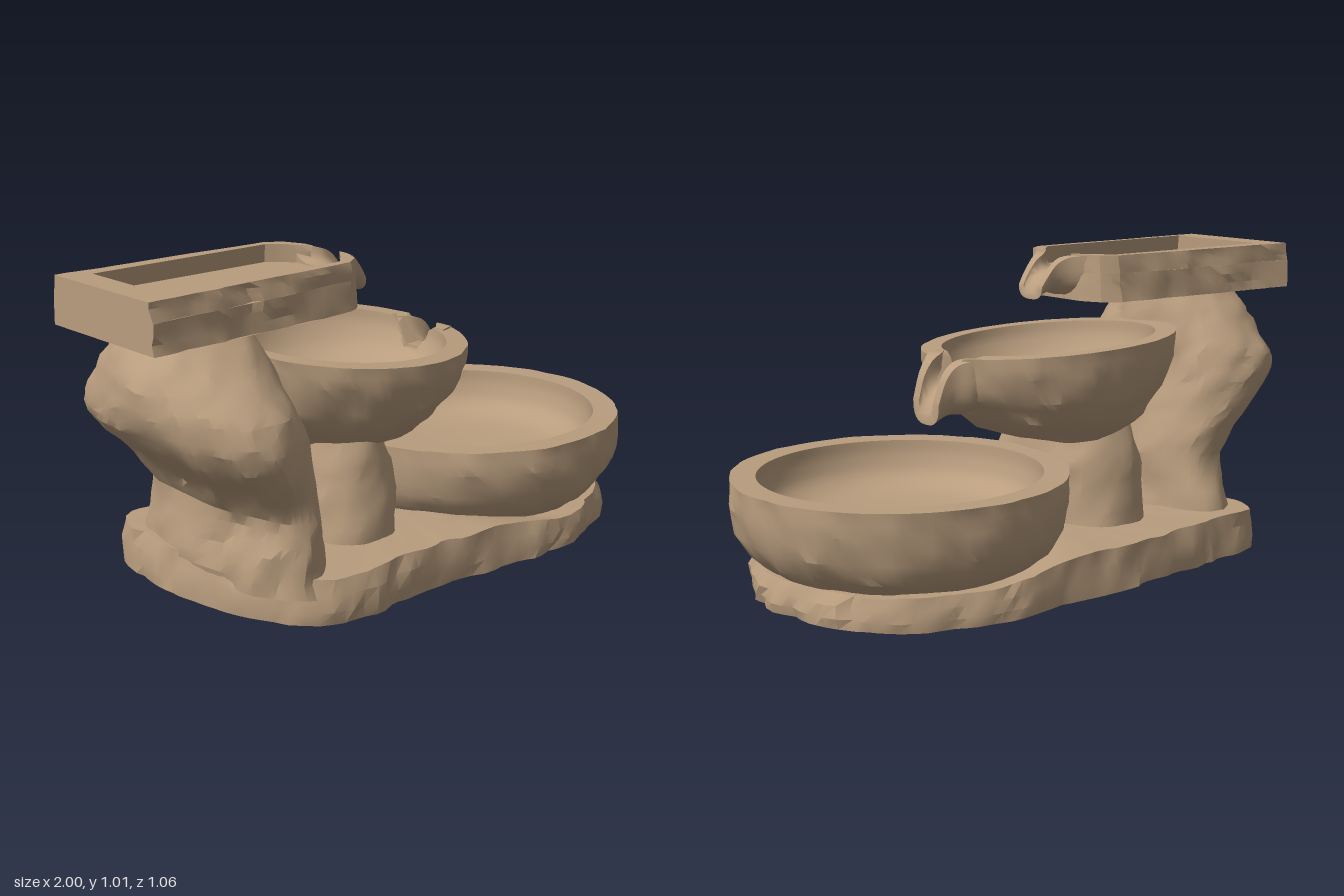
import * as THREE from 'three';
import { toCreasedNormals } from 'three/addons/utils/BufferGeometryUtils.js';

const stone = new THREE.MeshStandardMaterial({ color: 0xb99d7e });
stone.name = 'sandstone';

// Smooth value noise in -1..1
const hash = (x, y, z) => {
  const s = Math.sin(x * 127.1 + y * 311.7 + z * 74.7) * 43758.5453;
  return (s - Math.floor(s)) * 2 - 1;
};
function noise(x, y, z) {
  const [i, j, k] = [x, y, z].map(Math.floor);
  const [u, v, w] = [x - i, y - j, z - k].map((t) => t * t * (3 - 2 * t));
  let sum = 0;
  for (let a = 0; a < 2; a++) for (let b = 0; b < 2; b++) for (let c = 0; c < 2; c++)
    sum += hash(i + a, j + b, k + c) * (a ? u : 1 - u) * (b ? v : 1 - v) * (c ? w : 1 - w);
  return sum;
}

// Apply a rule to every vertex
function reshape(geo, rule) {
  const pos = geo.attributes.position, p = new THREE.Vector3();
  for (let i = 0; i < pos.count; i++) {
    rule(p.fromBufferAttribute(pos, i));
    pos.setXYZ(i, p.x, p.y, p.z);
  }
  return geo;
}

// Hewn surface: broad dents plus finer chips, with less movement in height
function hew(p, amount, freq = 11) {
  const { x, y, z } = p;
  for (const [amp, f] of [[amount, freq], [amount * 0.5, freq * 2.1]]) {
    p.x += amp * noise(x * f, y * f, z * f + 9);
    p.z += amp * noise(x * f + 31, y * f, z * f);
    p.y += amp * 0.3 * noise(x * f, y * f + 17, z * f);
  }
}

function part(name, geo, crease = 0.5) {
  const mesh = new THREE.Mesh(toCreasedNormals(geo, crease), stone);
  mesh.name = name;
  return mesh;
}

// Skin over a stack of rings; 'fan' closes round ends, 'channel' closes U-shaped ends
function loft(rings, cap) {
  const m = rings[0].length, pts = rings.flat(), idx = [];
  for (let i = 0; i < rings.length - 1; i++) for (let j = 0; j < m; j++) {
    const a = i * m + j, b = i * m + (j + 1) % m;
    idx.push(a, a + m, b, b, a + m, b + m);
  }
  const last = (rings.length - 1) * m;
  if (cap === 'fan') {
    const mid = (r) => r.reduce((s, p) => s.add(p), new THREE.Vector3()).divideScalar(m);
    const c = pts.length;
    pts.push(mid(rings[0]), mid(rings[rings.length - 1]));
    for (let j = 0; j < m; j++) {
      const k = (j + 1) % m;
      idx.push(c, j, k, c + 1, last + k, last + j);
    }
  } else {
    for (let j = 0; j < m / 2 - 1; j++) {
      const k = m - 1 - j, a = last + j, d = last + k;
      idx.push(a + 1, a, d, a + 1, d, d - 1, j, j + 1, k, k, j + 1, k - 1);
    }
  }
  const geo = new THREE.BufferGeometry().setFromPoints(pts);
  geo.setIndex(idx);
  return geo;
}

// Sections [y, x0, x1, z0, z1] smoothed into rounded rings
function column(sections, rows, sides) {
  const pick = (k, t) => {
    const f = t * (sections.length - 1), i = Math.min(Math.floor(f), sections.length - 2);
    return THREE.MathUtils.lerp(sections[i][k], sections[i + 1][k], f - i);
  };
  const rings = [];
  for (let r = 0; r <= rows; r++) {
    const [y, x0, x1, z0, z1] = [0, 1, 2, 3, 4].map((k) => pick(k, r / rows));
    rings.push(Array.from({ length: sides }, (_, j) => {
      const a = (j / sides) * Math.PI * 2, c = Math.cos(a), s = Math.sin(a);
      const sq = (v) => Math.sign(v) * Math.abs(v) ** 0.85;
      return new THREE.Vector3((x0 + x1) / 2 + sq(c) * (x1 - x0) / 2, y, (z0 + z1) / 2 + sq(s) * (z1 - z0) / 2);
    }));
  }
  return loft(rings, 'fan');
}

// Split a polyline into short pieces
function subdivide(points, step) {
  const out = [];
  points.forEach(([x, y], i) => {
    if (i === points.length - 1) return out.push(new THREE.Vector2(x, y));
    const [u, v] = points[i + 1], n = Math.max(1, Math.round(Math.hypot(u - x, v - y) / step));
    for (let k = 0; k < n; k++) out.push(new THREE.Vector2(x + (u - x) * k / n, y + (v - y) * k / n));
  });
  return out;
}

// Pouring lip from sections [x, outer half width, top, bottom, inner half width, floor]
function spout(name, sections) {
  const n = 13;
  const arc = (x, w, top, low) => Array.from({ length: n }, (_, i) => {
    const a = (i / (n - 1)) * Math.PI, c = -Math.cos(a);
    return new THREE.Vector3(x, top - (top - low) * Math.sin(a) ** 0.75, Math.sign(c) * w * Math.abs(c) ** 0.75);
  });
  const curves = [0, 1, 2, 3, 4, 5].map((k) => new THREE.SplineCurve(sections.map((s, i) => new THREE.Vector2(i, s[k]))));
  const rings = Array.from({ length: 17 }, (_, i) => {
    const [x, w, top, low, iw, floor] = curves.map((c) => c.getPoint(i / 16).y);
    return [...arc(x, w, top, low), ...arc(x, iw, top, floor).reverse()];
  });
  return part(name, loft(rings, 'channel'), 0.8);
}

// Round basin: hewn outside, smooth rounded inside
function basin(name, outer, inner, cx, rule) {
  const wall = new THREE.SplineCurve(inner.map(([r, y]) => new THREE.Vector2(r, y))).getPoints(16);
  wall[16].x = 0;
  const profile = [...subdivide([...outer, inner[0]], 0.04), ...wall.slice(1)];
  const geo = new THREE.LatheGeometry(profile, 88);
  const [rimR, rimY] = inner[0];
  reshape(geo, (p) => {
    const r = Math.hypot(p.x, p.z), y = p.y;
    const near = wall.reduce((d, q) => Math.min(d, Math.hypot(q.x - r, q.y - y)), 1);
    if (near > 0.04 && r > 0.1) {
      const onRim = y > rimY - 0.01;
      hew(p, onRim && r > rimR ? 0.005 : 0.01, 13);
      if (onRim) p.y = y;
    }
    p.x += cx;
    if (rule) rule(p);
  });
  return part(name, geo, 0.5);
}

export function createModel() {
  const model = new THREE.Group();
  model.name = 'tieredFountain';

  // Rough plinth, thinner beneath the large basin
  const outline = new THREE.CatmullRomCurve3([
    [0.92, 0], [0.87, 0.23], [0.72, 0.41], [0.45, 0.51], [0.15, 0.49], [-0.15, 0.465], [-0.45, 0.48],
    [-0.6, 0.42], [-0.7, 0.24], [-0.75, 0], [-0.75, -0.2], [-0.71, -0.39], [-0.5, -0.43], [-0.2, -0.47],
    [0.15, -0.485], [0.45, -0.5], [0.72, -0.42], [0.87, -0.23],
  ].map(([x, z]) => new THREE.Vector3(x, 0, z)), true);
  const ringAt = (t, size) => outline.getSpacedPoints(120).slice(0, 120).map((p) => {
    const top = 0.14 - 0.04 * THREE.MathUtils.smoothstep(p.x, 0.1, 0.5);
    return new THREE.Vector3(p.x * size, top * t, p.z * size);
  });
  const plinth = loft([[0, 1], [0.3, 1.005], [0.65, 0.995], [1, 0.975], [1, 0.7], [1, 0.35]].map(([t, s]) => ringAt(t, s)), 'fan');
  reshape(plinth, (p) => {
    const y = p.y;
    hew(p, 0.014, 13);
    if (y < 0.001) p.y = 0;
  });
  model.add(part('plinth', plinth, 0.45));

  // Tall boulder carrying the trough
  const boulder = column([
    [0.08, -0.73, -0.43, -0.37, 0.42], [0.2, -0.72, -0.44, -0.34, 0.41], [0.31, -0.71, -0.45, -0.31, 0.41],
    [0.41, -0.78, -0.47, -0.315, 0.425], [0.5, -0.88, -0.49, -0.34, 0.445], [0.58, -0.945, -0.51, -0.355, 0.45],
    [0.66, -0.965, -0.52, -0.34, 0.415], [0.73, -0.96, -0.52, -0.29, 0.345], [0.8, -0.92, -0.53, -0.24, 0.26],
    [0.87, -0.86, -0.55, -0.19, 0.2],
  ], 26, 56);
  reshape(boulder, (p) => { hew(p, 0.018, 7); hew(p, 0.007, 16); });
  model.add(part('boulder', boulder, 0.4));

  // Pedestal under the middle bowl
  const pedestal = column([
    [0.1, -0.42, -0.03, -0.3, 0.31], [0.25, -0.4, -0.04, -0.29, 0.3], [0.36, -0.385, -0.05, -0.28, 0.28],
    [0.46, -0.36, -0.07, -0.25, 0.25],
  ], 11, 44);
  model.add(part('pedestal', reshape(pedestal, (p) => hew(p, 0.01, 12)), 0.4));

  // Large lower basin
  model.add(basin('lowerBasin',
    [[0, 0.09], [0.42, 0.09], [0.475, 0.14], [0.513, 0.205], [0.53, 0.29], [0.528, 0.366]],
    [[0.447, 0.365], [0.44, 0.31], [0.405, 0.245], [0.3, 0.205], [0, 0.188]], 0.463));

  // Middle bowl, slightly tilted, with a funnel cut for its lip
  model.add(basin('middleBowl',
    [[0, 0.425], [0.24, 0.425], [0.32, 0.485], [0.38, 0.57], [0.412, 0.66], [0.418, 0.73]],
    [[0.352, 0.73], [0.342, 0.675], [0.29, 0.595], [0.18, 0.545], [0, 0.525]], -0.128, (p) => {
      const lift = (p.y - 0.425) / 0.305;
      p.y -= lift * (0.06 * (p.x + 0.128) + 0.05 * p.z);
      p.y += 0.15 * Math.max(0, 1 - 1.5 * lift) * Math.max(0, p.x + 0.03);
      if (p.x > 0.1) p.y = Math.min(p.y, 0.62 + 1.6 * Math.max(0, Math.abs(p.z) - 0.03));
    }));
  model.add(spout('middleSpout', [
    [0.215, 0.14, 0.706, 0.53, 0.11, 0.625], [0.262, 0.125, 0.706, 0.522, 0.062, 0.62],
    [0.305, 0.09, 0.69, 0.522, 0.046, 0.605], [0.34, 0.076, 0.645, 0.507, 0.042, 0.57],
    [0.365, 0.07, 0.57, 0.498, 0.038, 0.525],
  ]));

  // Top trough: solid floor slab with an open rim above it
  const outside = [[-0.17, 0.1], [-0.2, 0.17], [-0.25, 0.205], [-1, 0.235], [-1, -0.235], [-0.25, -0.205], [-0.2, -0.17], [-0.17, -0.1]];
  const inside = [[-0.17, -0.06], [-0.22, -0.13], [-0.27, -0.18], [-0.91, -0.205], [-0.91, 0.175], [-0.27, 0.175], [-0.22, 0.13], [-0.17, 0.06]];
  const slab = (points, low, high) => {
    const geo = new THREE.ExtrudeGeometry(new THREE.Shape(subdivide(points, 0.04)), { depth: high - low, steps: 3, bevelEnabled: false });
    geo.rotateX(-Math.PI / 2).translate(0, low, 0);
    return reshape(geo, (p) => {
      const { x, y } = p, cut = x < -0.99;
      const edge = THREE.MathUtils.lerp(0.235, 0.205, (x + 1) / 0.75);
      if (Math.abs(p.z) > edge - 0.008 || x > -0.19) hew(p, y > 1 ? 0.005 : 0.011, 17);
      p.z *= 1 + 0.5 * (1.01 - y);
      p.y = y;
      if (cut) p.x = -1;
    });
  };
  const trough = new THREE.Group();
  trough.name = 'trough';
  trough.add(part('troughFloor', slab(outside, 0.858, 0.95), 0.4));
  trough.add(part('troughRim', slab([...outside, ...inside], 0.95, 1.008), 0.4));
  trough.add(spout('troughSpout', [
    [-0.2, 0.15, 1.006, 0.865, 0.11, 0.951], [-0.15, 0.095, 1.0, 0.872, 0.052, 0.95],
    [-0.11, 0.072, 0.98, 0.882, 0.042, 0.94], [-0.075, 0.065, 0.94, 0.875, 0.04, 0.915],
    [-0.052, 0.06, 0.905, 0.862, 0.036, 0.88],
  ]));
  model.add(trough);
  return model;
}
